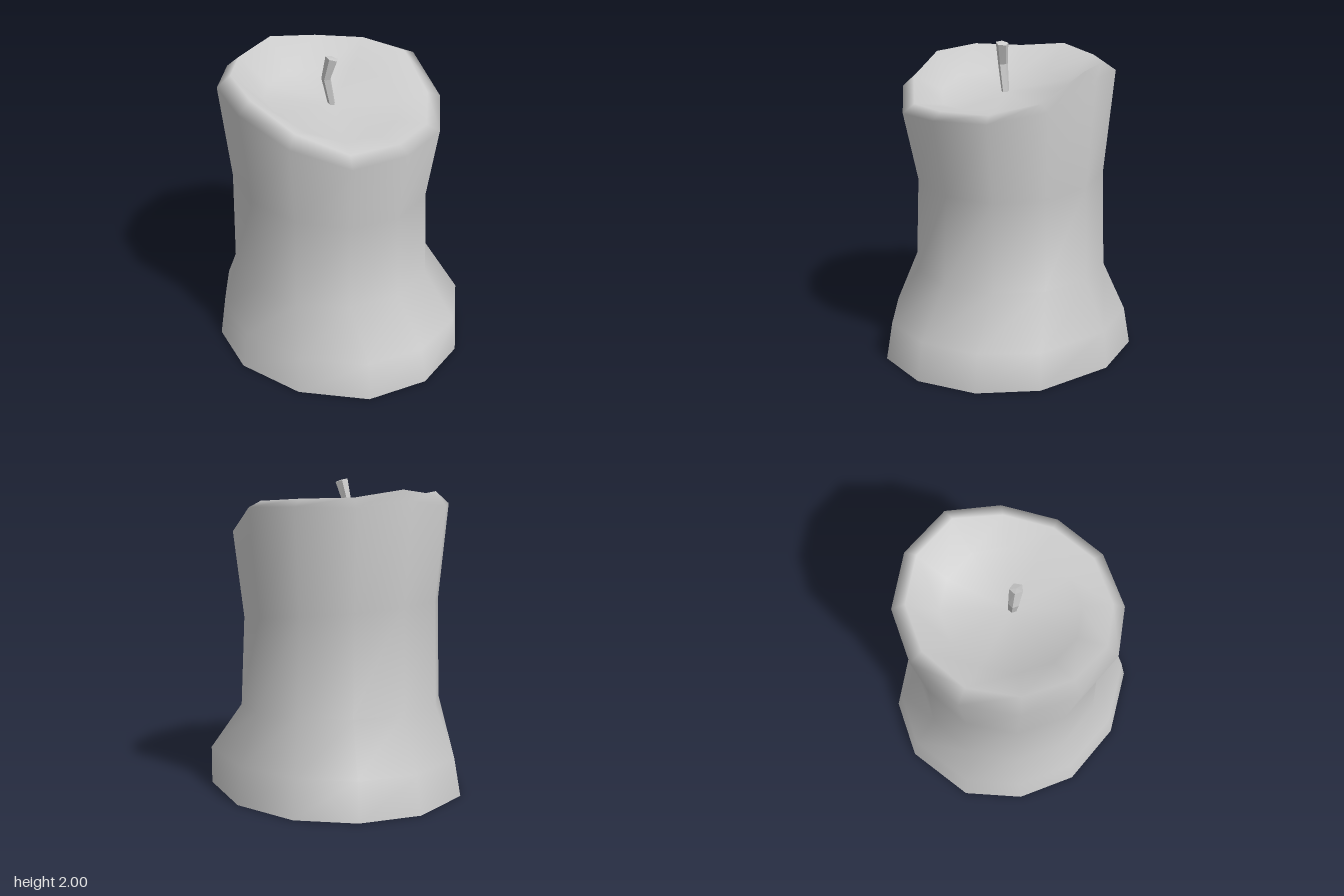
import * as THREE from 'three';

const SIDES = 12;

// Skin a stack of closed rings (outward facing), optionally ending in a centre point
function skin(rings, tip) {
  const n = rings[0].length, pos = rings.flat(2), idx = [];
  for (let k = 0; k < rings.length; k++) {
    for (let i = 0; i < n; i++) {
      const a = k * n + i, b = k * n + (i + 1) % n;
      if (k < rings.length - 1) idx.push(b, a, a + n, b, a + n, b + n);
      else if (tip) idx.push(b, a, rings.length * n);
    }
  }
  if (tip) pos.push(...tip);
  const geo = new THREE.BufferGeometry();
  geo.setAttribute('position', new THREE.Float32BufferAttribute(pos, 3));
  geo.setIndex(idx);
  geo.computeVertexNormals();
  return geo;
}

// Ring of points starting at the back and turning towards +x; y is a function (x, z, i)
function ring(n, cx, cz, rx, rz, y) {
  return Array.from({ length: n }, (_, i) => {
    const a = (i / n) * Math.PI * 2;
    const x = cx + rx * Math.sin(a), z = cz - rz * Math.cos(a);
    return [x, y(x, z, i), z];
  });
}

export function createModel() {
  const group = new THREE.Group();

  // Uneven foot outline (x, z) where the wax has spread
  const foot = [
    [-0.05, -0.85], [0.33, -0.75], [0.65, -0.43], [0.81, 0.08], [0.71, 0.46], [0.43, 0.74],
    [0.04, 0.84], [-0.39, 0.69], [-0.71, 0.37], [-0.82, -0.01], [-0.76, -0.4], [-0.44, -0.75],
  ];
  // Height of the melted rim, from the back round by +x
  const crest = [1.885, 1.878, 1.862, 1.7, 1.635, 1.635, 1.635, 1.76, 1.885, 1.915, 1.9, 1.93];

  const wax = skin([
    foot.map(([x, z]) => [x, 0, z]),
    foot.map(([x, z], i) => {
      const s = i === 3 ? 1 : i === 2 || i === 4 ? 0.97 : 0.95;
      return [x * s, 0.24, z * s];
    }),
    ring(SIDES, -0.04, -0.025, 0.65, 0.625, (x, z) => 0.56 - 0.02 * x - 0.02 * z),
    ring(SIDES, -0.045, -0.03, 0.63, 0.605, (x, z) => 1.165 - 0.08 * x - 0.07 * z),
    ring(SIDES, -0.045, -0.015, 0.695, 0.685, (x, z, i) => crest[i] - 0.055 + 0.03 * x),
    ring(SIDES, -0.045, -0.01, 0.61, 0.605, (x, z, i) => crest[i]),
    ring(SIDES, -0.045, -0.01, 0.42, 0.42, (x, z, i) => 1.61 + 0.45 * (crest[i] - 1.61)),
  ], [-0.045, 1.68, -0.01]);
  const body = new THREE.Mesh(wax, new THREE.MeshStandardMaterial({
    color: 0xcccccc, side: THREE.DoubleSide,
  }));
  body.name = 'waxBody';
  group.add(body);

  // Bent five-sided wick with a slightly slanted end
  const wickGeo = skin([
    ring(5, -0.042, -0.005, 0.023, 0.025, () => 1.66),
    ring(5, -0.078, 0.0, 0.03, 0.033, () => 1.85),
    ring(5, -0.045, 0.018, 0.04, 0.042, (x) => 1.985 - 0.3 * (x + 0.045)),
  ], [-0.045, 1.988, 0.018]);
  const wick = new THREE.Mesh(wickGeo, new THREE.MeshStandardMaterial({
    color: 0xcccccc, flatShading: true,
  }));
  wick.name = 'wick';
  group.add(wick);

  return group;
}
